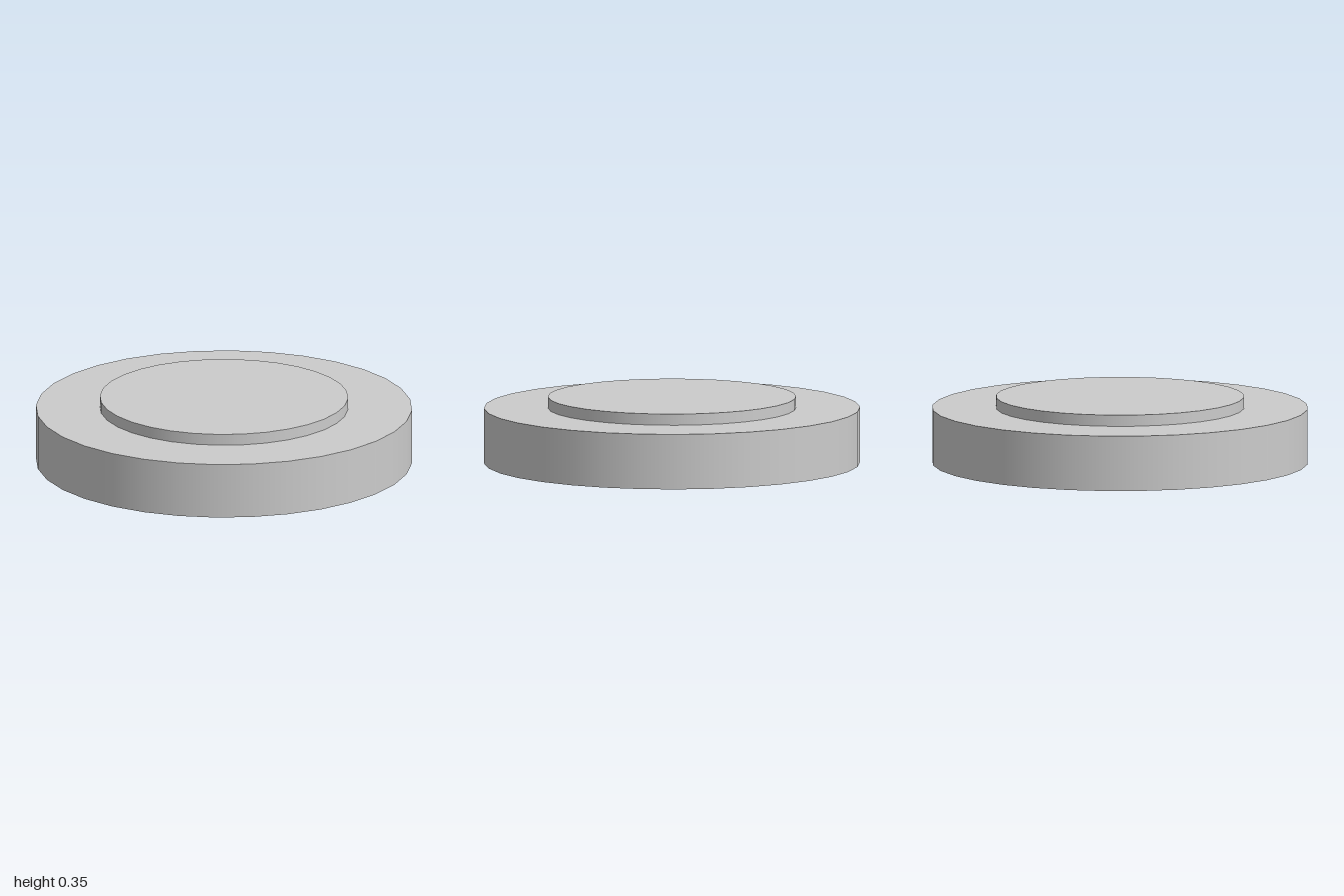
import * as THREE from 'three';

const SIDES = 32;

// Upright disc standing on height y, smooth around its rim
function disc(name, radius, y, height, material) {
  const mesh = new THREE.Mesh(new THREE.CylinderGeometry(radius, radius, height, SIDES), material);
  mesh.name = name;
  mesh.position.y = y + height / 2;
  return mesh;
}

export function createModel() {
  const model = new THREE.Group();
  model.name = 'steppedDisc';
  const material = new THREE.MeshStandardMaterial({ color: 0xcccccc });

  const baseHeight = 0.295;
  model.add(disc('base', 1, 0, baseHeight, material));
  model.add(disc('raisedTop', 0.66, baseHeight, 0.06, material));
  return model;
}
